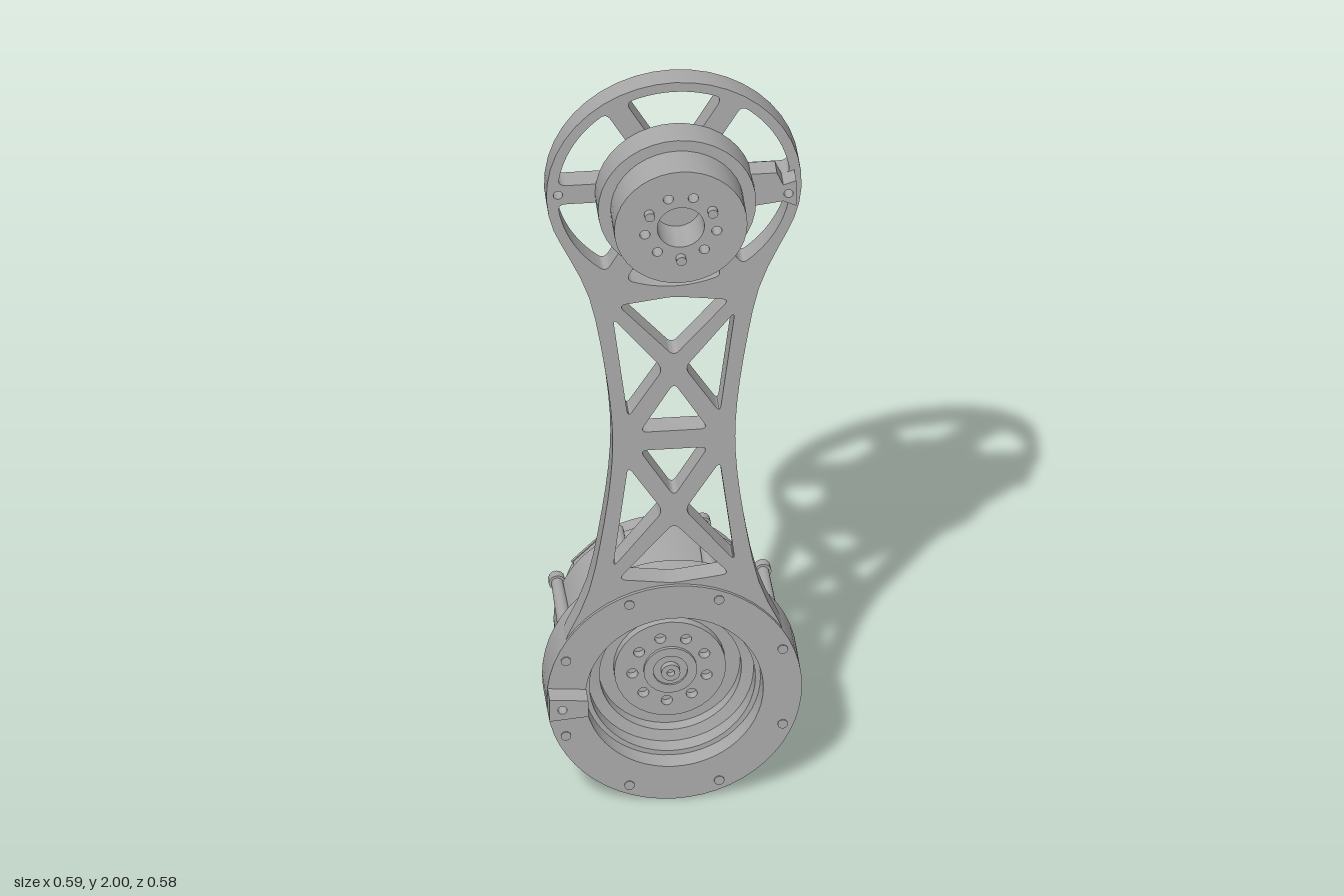
import * as THREE from 'three';
import { toCreasedNormals } from 'three/addons/utils/BufferGeometryUtils.js';

const LOW = 0.3, HIGH = 1.703, R = 0.297, MID = (LOW + HIGH) / 2;
const rad = (d) => d * Math.PI / 180;
const polar = (r, deg, cy = 0) => new THREE.Vector2(r * Math.cos(rad(deg)), cy + r * Math.sin(rad(deg)));

// Closed path through the corners, each one rounded off
function rounded(points, radius, Type = THREE.Path) {
  const path = new Type(), n = points.length;
  points.forEach((p, i) => {
    const cut = (q) => {
      const d = p.distanceTo(q);
      return p.clone().lerp(q, Math.min(radius, d * 0.45) / d);
    };
    const a = cut(points[(i + n - 1) % n]), b = cut(points[(i + 1) % n]);
    if (i === 0) path.moveTo(a.x, a.y); else path.lineTo(a.x, a.y);
    path.quadraticCurveTo(p.x, p.y, b.x, b.y);
  });
  path.closePath();
  return path;
}

function circle(x, y, r, Type = THREE.Path) {
  const c = new Type();
  c.absarc(x, y, r, 0, Math.PI * 2, false);
  return c;
}

function extrude(shape, z0, z1, curveSegments = 8) {
  const g = new THREE.ExtrudeGeometry(shape, { depth: z1 - z0, bevelEnabled: false, curveSegments });
  g.translate(0, 0, z0);
  return toCreasedNormals(g, 0.5);
}

// Profile of [radius, z], running from the back to the front
function turned(profile, segments = 48) {
  const g = new THREE.LatheGeometry(profile.map(([r, z]) => new THREE.Vector2(r, z)), segments);
  g.rotateX(Math.PI / 2);
  return toCreasedNormals(g, 0.5);
}

export function createModel() {
  const model = new THREE.Group();
  const metal = new THREE.MeshStandardMaterial({ color: 0xaaaaaa });
  metal.name = 'grey metal';

  function add(name, geometry, x = 0, y = 0, z = 0, parent = model) {
    const m = new THREE.Mesh(geometry, metal);
    m.name = name;
    m.position.set(x, y, z);
    parent.add(m);
    return m;
  }
  const pin = (r0, r1, z0, z1, sides = 12) => {
    const g = new THREE.CylinderGeometry(r1, r0, z1 - z0, sides);
    g.rotateX(Math.PI / 2);
    g.translate(0, 0, (z0 + z1) / 2);
    return g;
  };

  // Link plate outline: two round ends joined by a narrow waist
  const side = [polar(R, -28, HIGH), new THREE.Vector2(0.2, 1.42), new THREE.Vector2(0.165, 1.24),
    new THREE.Vector2(0.145, 1.07)];
  const flip = (p, sx, sy) => new THREE.Vector2(p.x * sx, sy < 0 ? 2 * MID - p.y : p.y);
  const waist = (sx) => new THREE.SplineCurve([...side.map((p) => flip(p, sx, 1)),
    ...side.map((p) => flip(p, sx, -1)).reverse()]).getPoints(20);
  const outline = [];
  for (let i = 0; i <= 28; i++) outline.push(polar(R, -28 + 236 * i / 28, HIGH));
  outline.push(...waist(-1).slice(1, -1));
  for (let i = 0; i <= 28; i++) outline.push(polar(R - 0.003, 152 + 236 * i / 28, LOW));
  outline.push(...waist(1).reverse().slice(1, -1));
  const plate = new THREE.Shape(outline);

  // Truss windows, mirrored across the waist
  const V = (x, y) => new THREE.Vector2(x, y);
  const windows = [
    [V(-0.13, 1.385), V(0, 1.402), V(0.13, 1.385), V(0, 1.235)],
    [V(-0.142, 1.35), V(-0.107, 1.07), V(-0.025, 1.2)],
    [V(0.142, 1.35), V(0.107, 1.07), V(0.025, 1.2)],
    [V(-0.08, 1.027), V(0.08, 1.027), V(0, 1.16)],
  ];
  for (const w of windows) for (const s of [1, -1]) {
    plate.holes.push(rounded(w.map((p) => flip(p, 1, s)), 0.02));
  }

  // Spoked windows and bolt holes of the upper end
  for (let k = 0; k < 6; k++) {
    const c = 30 + 60 * k, pts = [];
    for (const [r, steps] of [[0.272, 6], [0.13, 2]]) {
      const half = 30 - Math.asin(0.026 / r) * 180 / Math.PI, dir = steps === 6 ? 1 : -1;
      for (let i = 0; i <= steps; i++) pts.push(polar(r, c + dir * half * (2 * i / steps - 1), HIGH));
    }
    plate.holes.push(rounded(pts, 0.022));
    const h = polar(0.08, 60 * k, HIGH);
    plate.holes.push(circle(h.x, h.y, 0.017));
  }
  for (const s of [1, -1]) plate.holes.push(circle(s * 0.27, HIGH, 0.011));
  plate.holes.push(circle(0, LOW, 0.24));
  add('linkPlate', extrude(plate, 0.057, 0.112));

  // Upper output hub
  const hub = new THREE.Group();
  hub.name = 'upperHub';
  hub.position.y = HIGH;
  model.add(hub);
  add('hubFlange', turned([[0, 0.112], [0.184, 0.112], [0.184, 0.185], [0, 0.185]], 40), 0, 0, 0, hub);
  const face = circle(0, 0, 0.155, THREE.Shape);
  face.holes.push(circle(0, 0, 0.055));
  for (let k = 0; k < 9; k++) {
    const p = polar(0.085, 30 + 40 * k);
    if (k % 3 === 0) add('hubPin', pin(0.012, 0.012, 0.26, 0.288), p.x, p.y, 0, hub);
    else face.holes.push(circle(p.x, p.y, 0.012));
  }
  add('hubDrum', extrude(face, 0.185, 0.272, 20), 0, 0, 0, hub);
  const tab = new THREE.Shape([V(0.17, -0.03), V(0.25, -0.02), V(0.28, -0.035), V(0.28, 0.035),
    V(0.25, 0.025), V(0.235, 0.06), V(0.165, 0.06)]);
  tab.holes.push(circle(0.262, 0, 0.011));
  add('hubTab', extrude(tab, 0.108, 0.158), 0, 0, 0, hub);

  // Motor housing with a stepped recess in front
  const motor = new THREE.Group();
  motor.name = 'motor';
  motor.position.y = LOW;
  model.add(motor);
  add('motorHousing', turned([[0, -0.21], [0.248, -0.21], [0.25, 0.012], [R, 0.012], [R, 0.12],
    [0.207, 0.12], [0.205, 0.075], [0.193, 0.075], [0.193, 0.035], [0.165, 0.03], [0.165, 0], [0, 0]], 56),
  0, 0, 0, motor);

  // Output disc inside the recess
  const disc = circle(0, 0, 0.13, THREE.Shape);
  for (let k = 0; k < 9; k++) {
    const p = polar(0.088, 25 + 40 * k);
    disc.holes.push(circle(p.x, p.y, 0.013));
  }
  add('outputDisc', extrude(disc, 0, 0.022, 16), 0, 0, 0, motor);
  add('outputBoss', turned([[0, 0.02], [0.062, 0.02], [0.062, 0.03], [0.04, 0.03], [0.04, 0.025],
    [0.022, 0.025], [0.022, 0.04], [0.009, 0.04], [0.009, 0.025], [0, 0.025]], 24), 0, 0, 0, motor);

  // Ribs, rear bolts and front screws around the housing
  for (let k = 0; k < 8; k++) {
    const a = 22.5 + 45 * k, p = polar(0.259, a), f = polar(0.273, a);
    add('housingRib', pin(0.014, 0.018, -0.21, 0.012), p.x, p.y, 0, motor);
    if (k !== 2) add('rearBolt', pin(0.019, 0.02, -0.233, -0.21), p.x, p.y, 0, motor);
    add('frontScrew', pin(0.012, 0.012, 0.11, 0.123), f.x, f.y, 0, motor);
  }

  // Side tab on the front ring
  const lug = new THREE.Shape([V(-0.295, -0.03), V(-0.205, -0.022), V(-0.205, 0.022), V(-0.295, 0.03)]);
  lug.holes.push(circle(-0.265, 0, 0.011));
  add('ringTab', extrude(lug, 0.115, 0.168), 0, 0, 0, motor);

  // Rear cap with two notches for the connectors
  const cap = new THREE.Shape();
  for (const c of [135, 315]) {
    const inner = [polar(0.176, c - 19), polar(0.176, c + 19)];
    const start = polar(0.22, c - 15);
    if (c === 135) cap.moveTo(start.x, start.y); else cap.lineTo(start.x, start.y);
    inner.forEach((p) => cap.lineTo(p.x, p.y));
    cap.absarc(0, 0, 0.22, rad(c + 15), rad(c + 165), false);
  }
  add('rearCap', extrude(cap, -0.288, -0.205, 24), 0, 0, 0, motor);
  add('capSeam', new THREE.BoxGeometry(0.43, 0.006, 0.004), 0, 0, -0.289, motor).rotation.z = rad(45);
  for (const a of [20, 75, 105, 165, 200, 255, 285, 345]) {
    const p = polar(0.2, a);
    add('capScrew', pin(0.008, 0.008, -0.291, -0.28, 8), p.x, p.y, 0, motor);
  }

  // Connectors: block, shelf and pins
  for (const a of [135, 315]) {
    const plug = new THREE.Group();
    plug.name = 'connector';
    plug.rotation.z = rad(a);
    motor.add(plug);
    add('connectorBlock', new THREE.BoxGeometry(0.06, 0.1, 0.05), 0.2, 0, -0.23, plug);
    add('connectorShelf', new THREE.BoxGeometry(0.05, 0.108, 0.008), 0.207, 0, -0.256, plug);
    for (const y of [-0.025, 0.025]) add('connectorPin', pin(0.009, 0.009, -0.278, -0.25, 8), 0.207, y, 0, plug);
  }
  return model;
}
